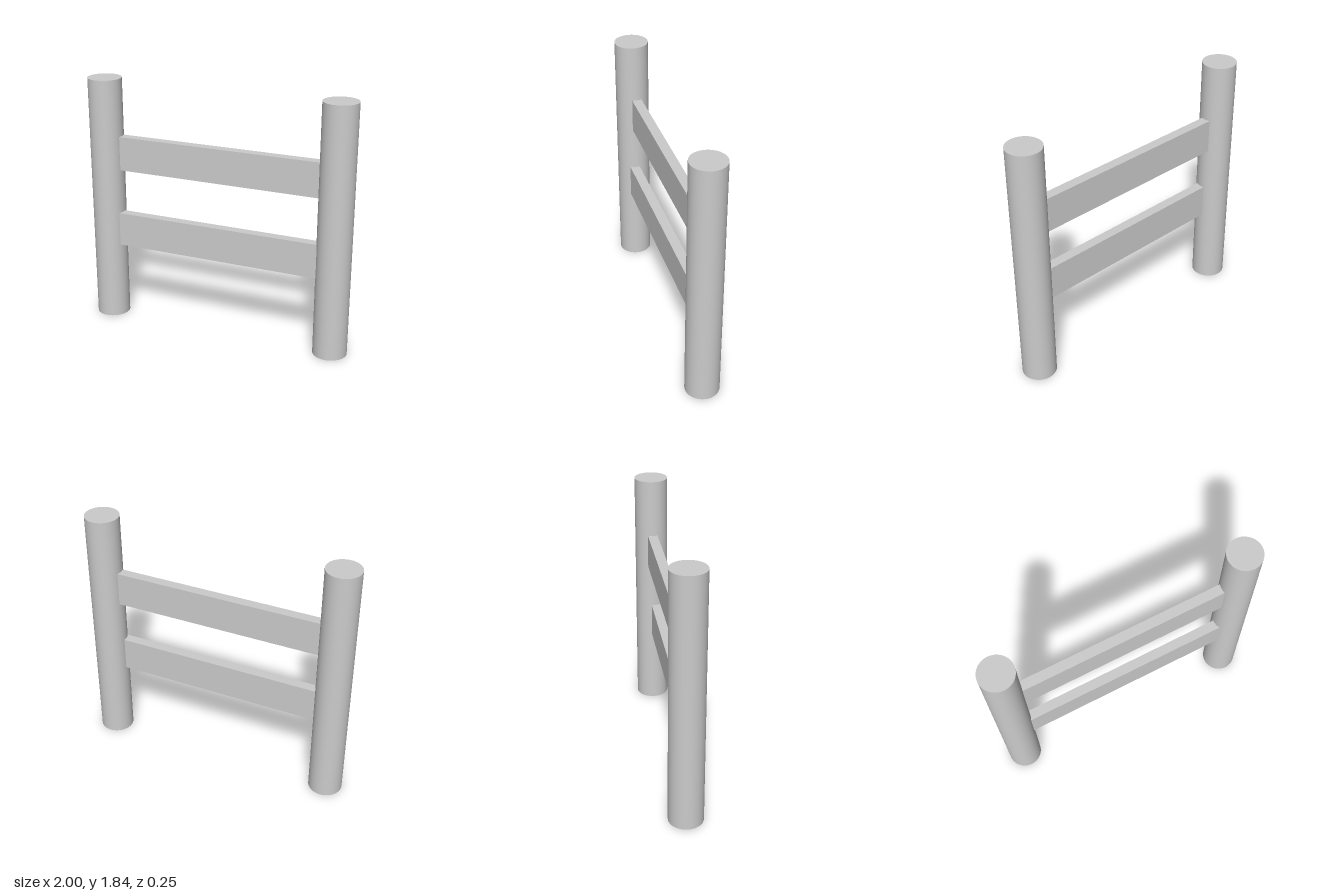
import * as THREE from 'three';

const POST_RADIUS = 0.123;
const POST_HEIGHT = 1.84;
const POST_X = 1 - POST_RADIUS;

export function createModel() {
  const model = new THREE.Group();
  model.name = 'fenceSection';
  const material = new THREE.MeshStandardMaterial({ color: 0xcccccc });

  const add = (name, geometry, x, y, z) => {
    const mesh = new THREE.Mesh(geometry, material);
    mesh.name = name;
    mesh.position.set(x, y, z);
    model.add(mesh);
  };

  // Round posts standing on the ground
  const post = new THREE.CylinderGeometry(POST_RADIUS, POST_RADIUS, POST_HEIGHT, 64);
  add('leftPost', post, POST_X, POST_HEIGHT / 2, 0);
  add('rightPost', post, -POST_X, POST_HEIGHT / 2, 0);

  // Flat rails let into the posts, the lower one set slightly forward
  const rail = new THREE.BoxGeometry(POST_X * 2, 0.253, 0.072);
  add('upperRail', rail, 0, 1.29, -0.004);
  add('lowerRail', rail, 0, 0.708, 0.02);

  return model;
}
